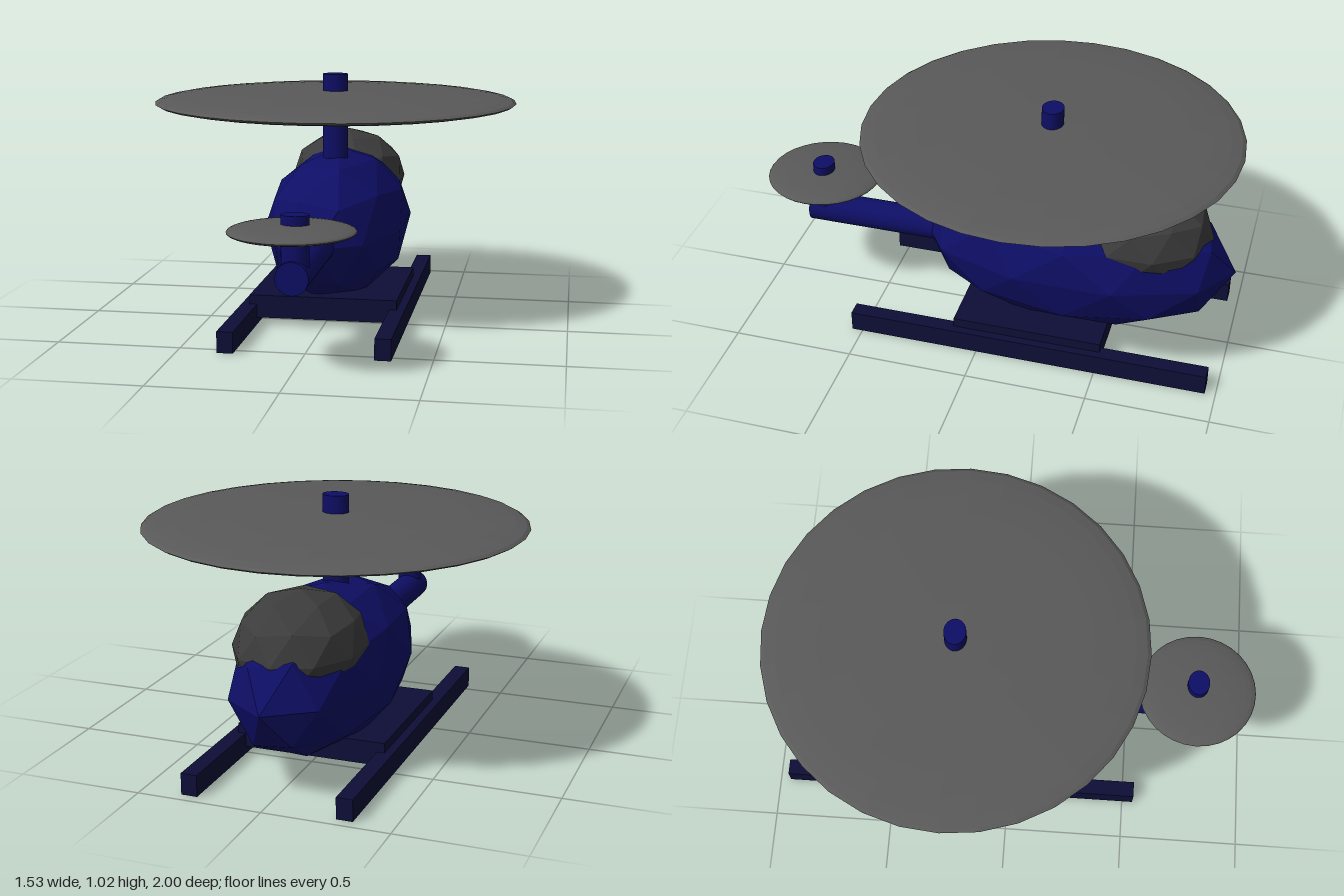
import * as THREE from 'three';

const paint = (color, flatShading = true) => new THREE.MeshStandardMaterial({ color, flatShading });

export function createModel() {
  const model = new THREE.Group();
  const blue = paint(0x0e0e66);
  const blueSmooth = paint(0x0e0e66, false);
  const navy = paint(0x0e0e38);
  const grey = paint(0x595959);
  const dark = paint(0x3c3c3c);

  const add = (name, geometry, material, x, y, z) => {
    const mesh = new THREE.Mesh(geometry, material);
    mesh.name = name;
    mesh.position.set(x, y, z);
    model.add(mesh);
    return mesh;
  };

  // faceted ellipsoid with one corner pointing straight up
  const facetedBall = (rx, ry, rz) =>
    new THREE.IcosahedronGeometry(1, 1)
      .rotateZ(-Math.atan(2 / (1 + Math.sqrt(5))))
      .scale(rx, ry, rz);

  // body and cockpit bubble, nose towards -z
  add('fuselage', facetedBall(0.305, 0.32, 0.66), blue, 0, 0.37, -0.34);
  add('canopy', facetedBall(0.255, 0.22, 0.3), dark, 0, 0.52, -0.6);

  // tail boom
  add('tailBoom', new THREE.CylinderGeometry(0.063, 0.063, 0.75, 32).rotateX(Math.PI / 2),
    blueSmooth, 0.01, 0.372, 0.445);

  // rotor masts, slightly oval
  const mast = (name, bottom, top, x, z) =>
    add(name, new THREE.CylinderGeometry(0.053, 0.053, top - bottom, 32).scale(1, 1, 0.83),
      blueSmooth, x, (top + bottom) / 2, z);
  mast('mainMast', 0.55, 1.02, 0, -0.224);
  mast('tailMast', 0.36, 0.6, 0.013, 0.76);

  // spinning rotors as flattened discs
  const rotor = (name, radius, halfHeight, y, z) =>
    add(name, new THREE.SphereGeometry(1, 32, 16).scale(radius, halfHeight, radius), grey, 0, y, z);
  rotor('mainRotor', 0.763, 0.045, 0.904, -0.224);
  rotor('tailRotor', 0.24, 0.028, 0.537, 0.76);

  // landing gear: plate under the body and two skids
  add('skidPlate', new THREE.BoxGeometry(0.615, 0.095, 0.62), navy, 0, 0.078, -0.205);
  for (const [name, side] of [['leftSkid', 1], ['rightSkid', -1]]) {
    add(name, new THREE.BoxGeometry(0.065, 0.086, 1.502), navy, side * 0.309, 0.043, -0.206);
  }
  return model;
}
